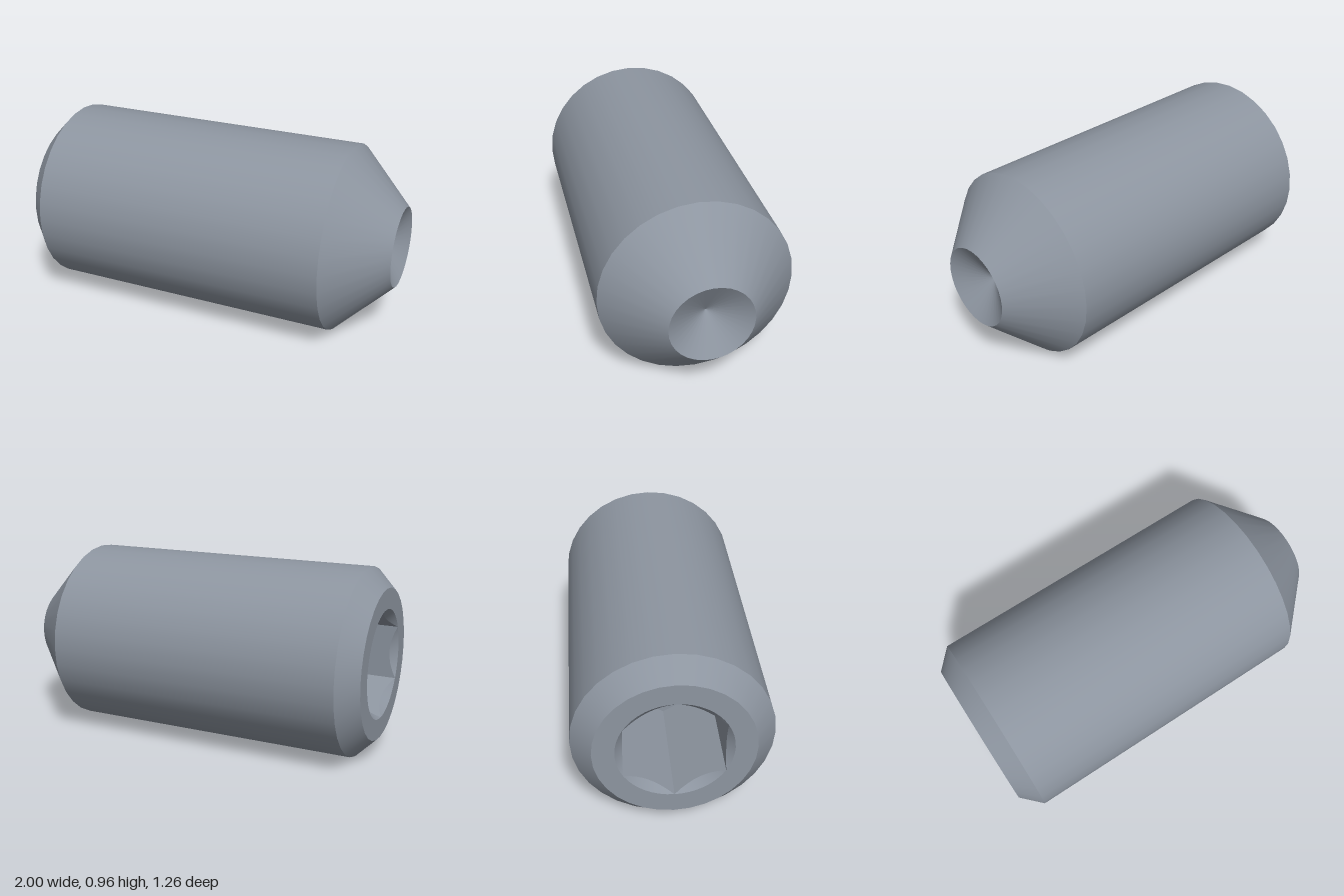
import * as THREE from 'three';
import { toCreasedNormals } from 'three/addons/utils/BufferGeometryUtils.js';

const SIDES = 32;            // facets around the body
const SOCKET_SIDES = 48;     // angular steps around the socket (multiple of 6)
const REAR = -0.939, TIP = 0.977;
const CORNER = 0.277, FLAT = 0.24, DEPTH = 0.6;   // hex socket

// points of a circle, as a list of Vector2
const circle = (r, n) => Array.from({ length: n }, (_, i) => {
  const a = (i / n) * Math.PI * 2;
  return new THREE.Vector2(r * Math.cos(a), r * Math.sin(a));
});

// radius of a hexagon with corners at 0, 60, 120... degrees
function hexRadius(a) {
  const s = Math.PI / 3;
  return FLAT / Math.cos((a % s) - s / 2);
}

// countersink, six flat walls and floor, lofted through rings
function socketGeometry() {
  const rings = [
    () => [CORNER, 0],
    (a) => [hexRadius(a), CORNER - hexRadius(a)],
    (a) => [hexRadius(a), DEPTH],
    () => [0, DEPTH],
  ];
  const n = SOCKET_SIDES, pos = [], index = [];
  rings.forEach((ring, i) => {
    for (let j = 0; j < n; j++) {
      const a = (j / n) * Math.PI * 2;
      const [r, d] = ring(a);
      pos.push(r * Math.cos(a), REAR + d, r * Math.sin(a));
      if (i === rings.length - 1) continue;
      const k = (j + 1) % n, A = i * n + j, B = i * n + k, C = A + n, D = B + n;
      index.push(A, B, C, B, D, C);
    }
  });
  const g = new THREE.BufferGeometry();
  g.setAttribute('position', new THREE.Float32BufferAttribute(pos, 3));
  g.setIndex(index);
  return toCreasedNormals(g, 0.4);
}

export function createModel() {
  const steel = new THREE.MeshStandardMaterial({ color: 0x8d95a0 });
  steel.name = 'steel grey';

  const screw = new THREE.Group();
  screw.name = 'setScrew';
  const add = (name, geometry) => {
    const mesh = new THREE.Mesh(geometry, steel);
    mesh.name = name;
    screw.add(mesh);
  };
  // one turned surface between two or more profile points [radius, axial position]
  const turned = (name, ...pts) => add(name,
    new THREE.LatheGeometry(pts.map(([r, y]) => new THREE.Vector2(r, y)), SIDES));

  // turned outside surfaces, rear to tip
  turned('rearChamfer', [0.383, REAR], [0.48, -0.843]);
  turned('shank', [0.48, -0.843], [0.48, 0.7]);
  turned('pointTaper', [0.48, 0.7], [0.205, TIP]);
  turned('cupPoint', [0.205, TIP], [0, TIP - 0.118]);

  // flat rear face around the socket
  const face = new THREE.Shape(circle(0.383, SIDES));
  face.holes.push(new THREE.Path(circle(CORNER, SOCKET_SIDES)));
  add('rearFace', new THREE.ShapeGeometry(face).rotateX(Math.PI / 2).translate(0, REAR, 0));

  add('hexSocket', socketGeometry());

  // lay the screw down and turn it slightly toward the front
  screw.rotation.set(0, -THREE.MathUtils.degToRad(12), -Math.PI / 2, 'YXZ');
  screw.position.set(0, 0.48, 0.0145);

  const model = new THREE.Group();
  model.name = 'model';
  model.add(screw);
  return model;
}
